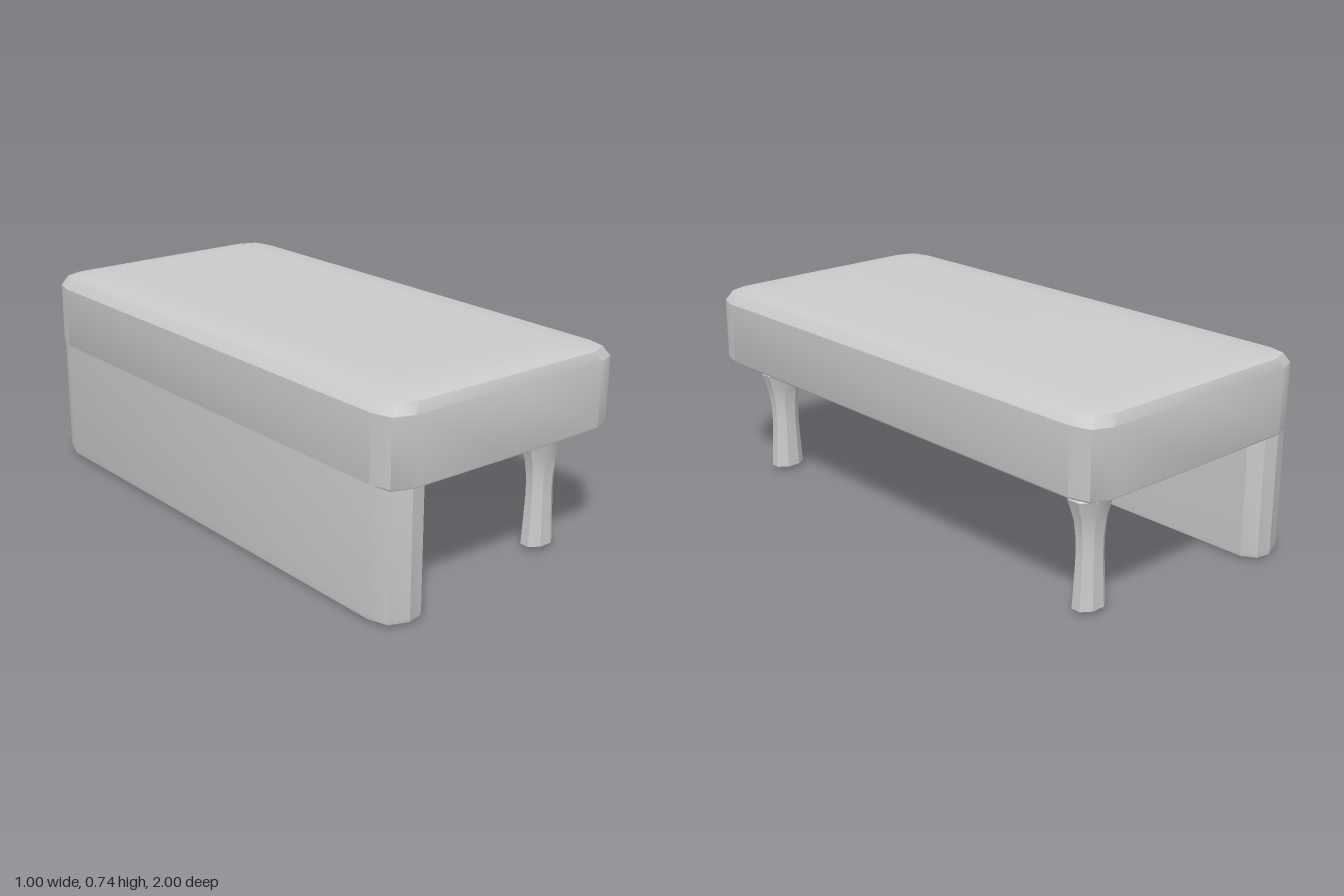
import * as THREE from 'three';
import { toCreasedNormals } from 'three/addons/utils/BufferGeometryUtils.js';

const material = new THREE.MeshStandardMaterial({ color: 0xcccccc });

// Skins a stack of horizontal rings (bottom to top) and caps both ends.
function loft(name, rings, crease = 0.5) {
  const n = rings[0].length;
  const index = [];
  for (let r = 0; r < rings.length - 1; r++) {
    for (let i = 0; i < n; i++) {
      const a = r * n + i, b = r * n + (i + 1) % n;
      index.push(a, b, a + n, b, b + n, a + n);
    }
  }
  const last = (rings.length - 1) * n;
  for (let i = 1; i < n - 1; i++) {
    index.push(0, i + 1, i, last, last + i, last + i + 1);
  }
  const geometry = new THREE.BufferGeometry();
  geometry.setAttribute('position', new THREE.Float32BufferAttribute(rings.flat(2), 3));
  geometry.setIndex(index);
  const mesh = new THREE.Mesh(toCreasedNormals(geometry, crease), material);
  mesh.name = name;
  return mesh;
}

// Turns half an outline (z > 0, from -x to +x) into a full closed ring,
// drawn in by ix and iz around the centre x = cx.
function ring(half, y, cx, hx, hz, ix, iz) {
  const sx = (hx - ix) / hx, sz = (hz - iz) / hz;
  const full = [...half, ...half.map(([x, z]) => [x, -z]).reverse()];
  return full.map(([x, z]) => [cx + (x - cx) * sx, y, z * sz]);
}

export function createModel() {
  const group = new THREE.Group();
  group.name = 'desk';

  // Thick top with bevelled corners and a softened upper edge
  const corner = [[0.5, 0.9], [0.48, 0.972], [0.41, 0.998]];
  const topHalf = [...corner.map(([x, z]) => [-x, z]), [0, 1], ...corner.slice().reverse()];
  const topLevels = [[0.456, 0.003, 0.002], [0.462, 0, 0], [0.69, 0, 0],
    [0.726, 0.027, 0.013], [0.738, 0.09, 0.055], [0.74, 0.15, 0.12]];
  group.add(loft('top', topLevels.map(([y, ix, iz]) => ring(topHalf, y, 0, 0.5, 1, ix, iz))));

  // Full-length side panel
  const panelHalf = [[-0.5, 0.9], [-0.477, 0.97], [-0.41, 0.995], [-0.355, 0.985], [-0.325, 0.935]];
  const panelLevels = [[0.004, 0.03, 0.02], [0.012, 0.002, 0.003], [0.03, 0, 0], [0.462, 0, 0]];
  group.add(loft('sidePanel', panelLevels.map(([y, ix, iz]) => ring(panelHalf, y, -0.4125, 0.0875, 0.995, ix, iz))));

  // Two turned legs, narrower along z, flaring into the underside;
  // each level is height, radius and shift towards the middle of the desk
  const legProfile = [[0, 0.044, 0], [0.016, 0.061, 0], [0.1, 0.056, 0], [0.2, 0.051, 0],
    [0.26, 0.052, 0], [0.325, 0.06, 0], [0.4, 0.084, 0], [0.43, 0.056, 0], [0.441, 0.058, 0],
    [0.447, 0.078, 0.005], [0.452, 0.11, 0.03], [0.459, 0.16, 0.06]];
  for (const side of [1, -1]) {
    const rings = legProfile.map(([y, r, shift]) => Array.from({ length: 8 }, (_, i) => {
      const a = -(i + 0.5) * Math.PI / 4;
      const k = r / Math.cos(Math.PI / 8);
      return [0.325 - shift + k * Math.cos(a), y, side * (0.834 - shift) + 0.7 * k * Math.sin(a)];
    }));
    group.add(loft(side > 0 ? 'frontLeg' : 'backLeg', rings, 0.6));
  }
  return group;
}
